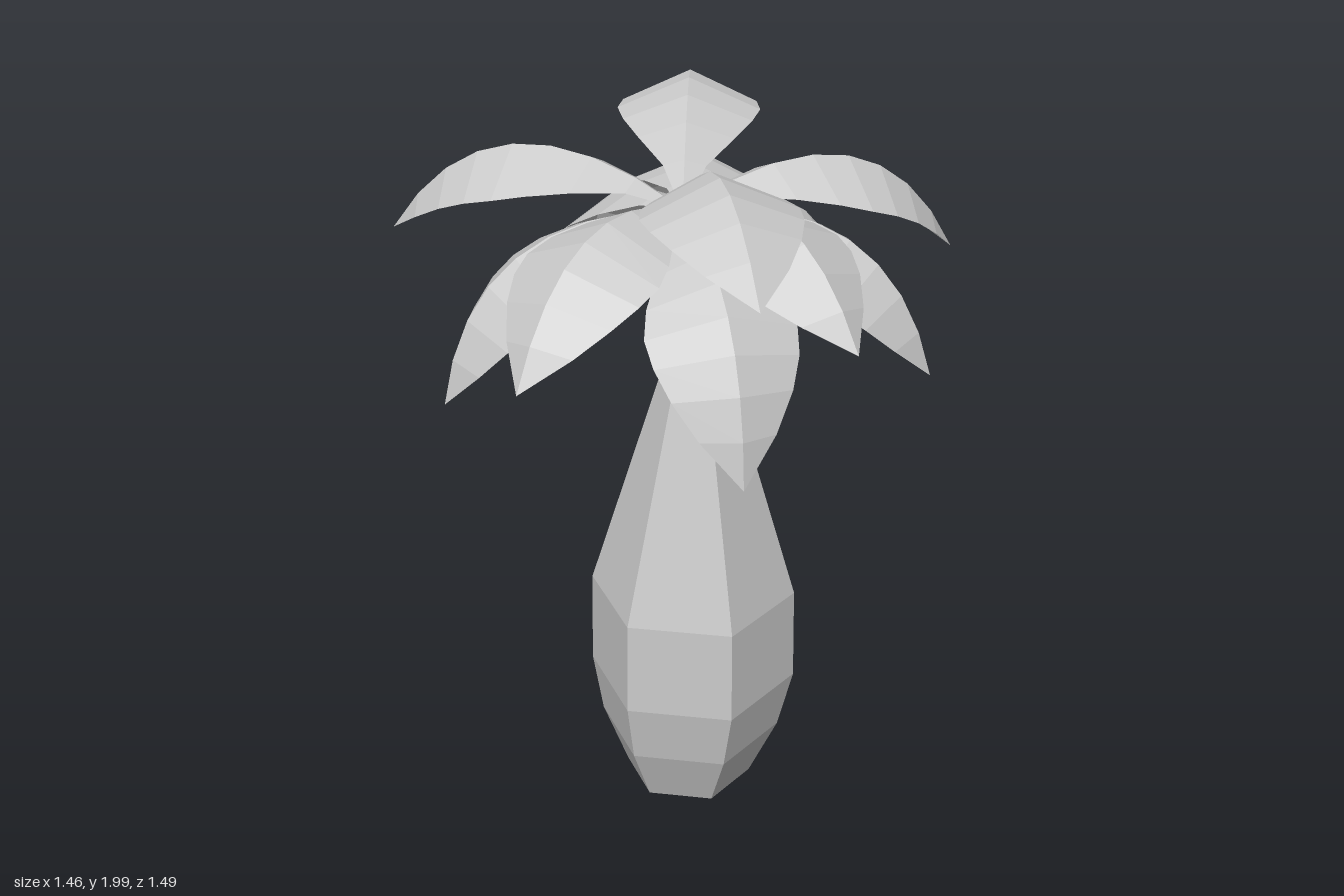
import * as THREE from 'three';

const material = new THREE.MeshStandardMaterial({ color: 0xcccccc, flatShading: true });
const leafMaterial = material.clone();
leafMaterial.side = THREE.DoubleSide;

const CROWN = new THREE.Vector3(0.075, 1.77, 0.035);

// Builds an indexed geometry from points and quads/triangles.
function build(points, index) {
  const g = new THREE.BufferGeometry();
  g.setAttribute('position', new THREE.Float32BufferAttribute(points, 3));
  g.setIndex(index);
  const flat = g.toNonIndexed();
  flat.computeVertexNormals();
  return flat;
}

// Six-sided bottle trunk; each ring is [x, y, z, radius].
function makeTrunk() {
  const rings = [
    [0.085, 0, -0.03, 0.18],
    [0.09, 0.18, -0.025, 0.255],
    [0.097, 0.36, -0.02, 0.29],
    [0.097, 0.635, -0.015, 0.285],
    [0.107, 1.28, 0.018, 0.098],
    [0.08, 1.77, 0.035, 0.03],
  ];
  const sides = 6, points = [], index = [];
  for (const [x, y, z, r] of rings) {
    for (let i = 0; i < sides; i++) {
      const a = THREE.MathUtils.degToRad(-7 + i * 60);
      points.push(x + r * Math.cos(a), y, z + r * Math.sin(a));
    }
  }
  for (let k = 0; k < rings.length - 1; k++) {
    for (let i = 0; i < sides; i++) {
      const a = k * sides + i, b = k * sides + (i + 1) % sides;
      index.push(a, a + sides, b, b, a + sides, b + sides);
    }
  }
  // End caps
  const top = (rings.length - 1) * sides;
  for (let i = 1; i < sides - 1; i++) {
    index.push(0, i, i + 1, top, top + i + 1, top + i);
  }
  return new THREE.Mesh(build(points, index), material);
}

// Arched leaf folded along its midrib, running from the crown to a tip.
function makeLeaf(tip) {
  const chord = tip.clone().sub(CROWN);
  const length = chord.length();
  const side = new THREE.Vector3(-chord.z, 0, chord.x).normalize();
  const up = side.clone().cross(chord).normalize();
  if (up.y < 0) up.negate();
  const control = CROWN.clone().addScaledVector(chord, 0.54).addScaledVector(up, length * 0.49);
  const midrib = new THREE.QuadraticBezierCurve3(CROWN, control, tip);

  const halfWidths = [0.004, 0.055, 0.125, 0.17, 0.19, 0.18, 0.15, 0.095, 0];
  const steps = halfWidths.length - 1, points = [], index = [];
  halfWidths.forEach((w, i) => {
    const p = midrib.getPoint(i / steps);
    const normal = side.clone().cross(midrib.getTangent(i / steps)).normalize();
    if (normal.dot(up) < 0) normal.negate();
    const edge = (s) => p.clone().addScaledVector(side, s * w).addScaledVector(normal, -0.45 * w);
    points.push(...edge(-1).toArray(), ...p.toArray(), ...edge(1).toArray());
  });
  for (let i = 0; i < steps; i++) {
    for (const j of [0, 1]) {
      const a = i * 3 + j;
      index.push(a, a + 1, a + 3);
      index.push(a + 1, a + 4, a + 3);
    }
  }
  return new THREE.Mesh(build(points, index), leafMaterial);
}

export function createModel() {
  const model = new THREE.Group();
  model.name = 'palmTree';

  const trunk = makeTrunk();
  trunk.name = 'trunk';
  model.add(trunk);

  // Leaf tips: two raised leaves, a middle tier, then the drooping lower tier
  const tips = [
    [-0.11, 1.79, -0.75], [0.44, 1.83, 0.735],
    [-0.73, 1.62, 0], [0.61, 1.62, 0.45], [0.69, 1.55, -0.45], [-0.135, 1.54, 0.71],
    [0.725, 1.4, 0.05], [-0.44, 1.33, 0.41], [0.41, 1.28, -0.45],
    [-0.33, 1.28, -0.4], [0.37, 1.28, 0.55], [-0.02, 1.5, -0.585],
  ];
  const leaves = new THREE.Group();
  leaves.name = 'leaves';
  tips.forEach((tip, i) => {
    const leaf = makeLeaf(new THREE.Vector3(...tip));
    leaf.name = `leaf${i + 1}`;
    leaves.add(leaf);
  });
  model.add(leaves);
  return model;
}
